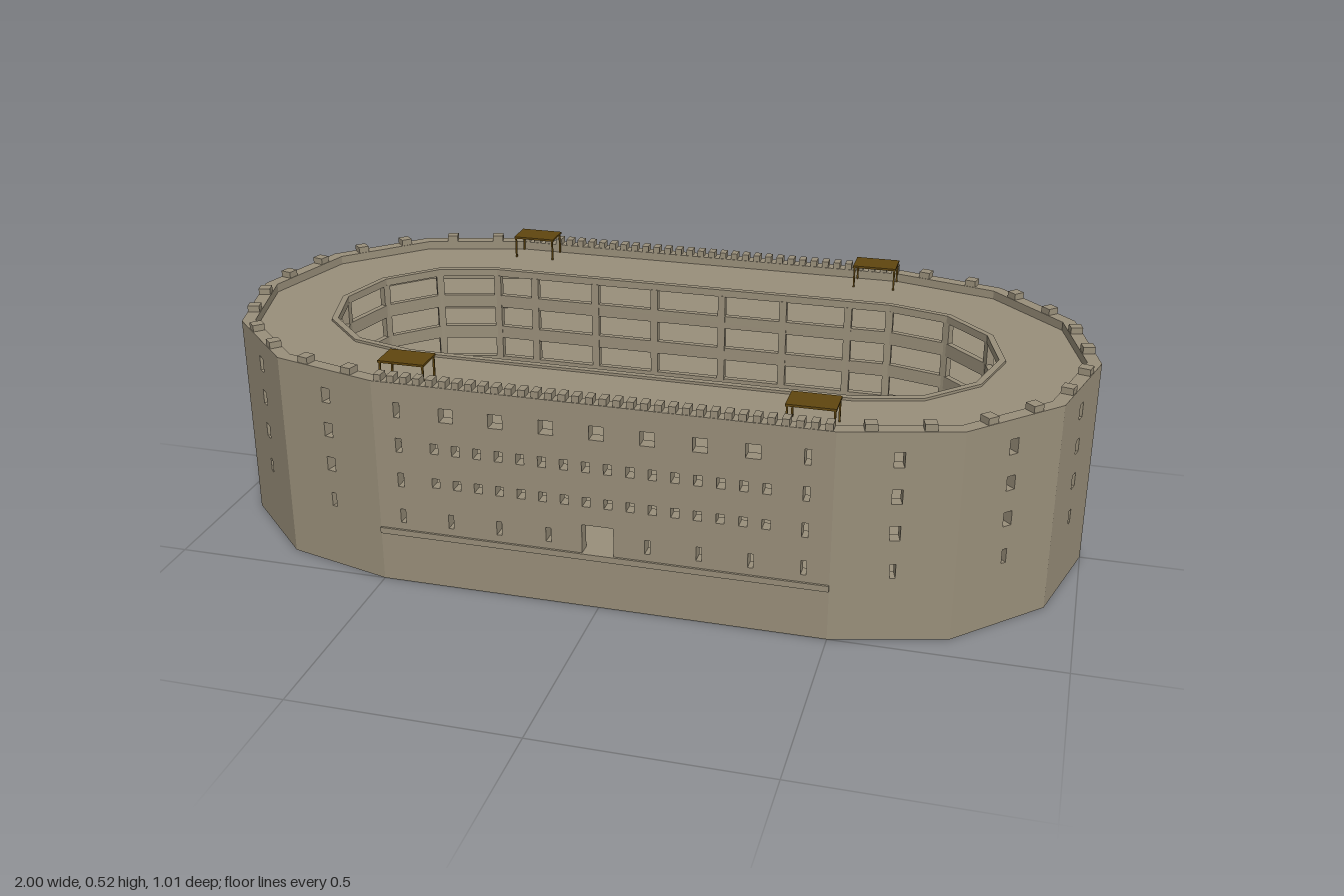
import * as THREE from 'three';

const stone = new THREE.MeshStandardMaterial({ color: 0x998f7a });
stone.name = 'stone';
const timber = new THREE.MeshStandardMaterial({ color: 0x60460f });
timber.name = 'timber';

const HALF = 0.5;         // half length of the straight sides
const RADIUS = 0.5;       // outer radius of the faceted ends
const THICK = 0.03;       // outer wall thickness
const WALL_TOP = 0.48;
const GROUND = 0.13;
const FLOORS = [0.21, 0.293, 0.377, 0.46];

// Corners of a long ring: two half circles of six facets joined by straights
function outline(r) {
  const pts = [];
  for (const side of [0, 1]) {
    for (let i = 0; i <= 6; i++) {
      const a = -Math.PI / 2 + i * Math.PI / 6 + side * Math.PI;
      pts.push(new THREE.Vector2((side ? -HALF : HALF) + r * Math.cos(a), r * Math.sin(a)));
    }
  }
  return pts;
}

function add(parent, name, geometry, material, x = 0, y = 0, z = 0) {
  const mesh = new THREE.Mesh(geometry, material);
  mesh.name = name;
  mesh.position.set(x, y, z);
  parent.add(mesh);
  return mesh;
}

// Horizontal slab, optionally with an open middle
function slab(parent, name, rOut, rIn, y0, y1) {
  const shape = new THREE.Shape(outline(rOut));
  if (rIn) shape.holes.push(new THREE.Path(outline(rIn)));
  const geo = new THREE.ExtrudeGeometry(shape, { depth: y1 - y0, bevelEnabled: false });
  geo.rotateX(-Math.PI / 2);
  return add(parent, name, geo, stone, 0, y0, 0);
}

// Openings are [centre x, bottom, width, height]
function wallGeometry(width, openings) {
  const rect = (target, x, y, w, h) => target.setFromPoints([
    new THREE.Vector2(x - w / 2, y), new THREE.Vector2(x + w / 2, y),
    new THREE.Vector2(x + w / 2, y + h), new THREE.Vector2(x - w / 2, y + h),
    new THREE.Vector2(x - w / 2, y)]);
  const shape = rect(new THREE.Shape(), 0, 0, width, WALL_TOP);
  for (const [x, y, w, h] of openings) shape.holes.push(rect(new THREE.Path(), x, y, w, h));
  const geo = new THREE.ExtrudeGeometry(shape, { depth: THICK, bevelEnabled: false });
  geo.translate(0, 0, -THICK);
  return geo;
}

// One column of four windows, narrow at the bottom
const stack = (x, w) => [
  [x, 0.147, 0.012, 0.033], [x, 0.235, w, 0.033],
  [x, 0.318, w, 0.033], [x, 0.4, w, 0.035]];

function longWallOpenings() {
  const list = [[0, GROUND, 0.07, 0.068], [0, 0.4, 0.032, 0.032]];
  for (const s of [-1, 1]) {
    list.push(...stack(s * 0.445, 0.014));
    for (const x of [0.11, 0.222, 0.333]) {
      list.push([s * x, 0.147, 0.012, 0.033], [s * x, 0.4, 0.032, 0.032]);
    }
    for (let i = 0; i < 8; i++) {
      const x = s * (0.024 + i * 0.0485);
      list.push([x, 0.242, 0.018, 0.022], [x, 0.323, 0.018, 0.024]);
    }
  }
  return list;
}

function buildWalls(root) {
  const pts = outline(RADIUS);
  pts.forEach((a, i) => {
    const b = pts[(i + 1) % pts.length];
    const mx = (a.x + b.x) / 2, mz = (a.y + b.y) / 2;
    const width = a.distanceTo(b);
    const isLong = width > 0.9;
    const wall = new THREE.Group();
    wall.name = isLong ? 'longWall' : 'endWall';
    wall.position.set(mx, 0, mz);
    wall.rotation.y = Math.atan2(b.y - a.y, -(b.x - a.x));
    root.add(wall);
    // Make sure the wall faces outwards
    const nx = Math.sin(wall.rotation.y), nz = Math.cos(wall.rotation.y);
    const cx = isLong ? 0 : Math.sign(mx) * HALF;
    if (nx * (mx - cx) + nz * mz < 0) wall.rotation.y += Math.PI;

    add(wall, 'wallPanel', wallGeometry(width, isLong ? longWallOpenings() : stack(0, 0.022)), stone);

    // Battlements, dense on the long sides and paired on the end facets
    const count = isLong ? 34 : 2;
    const pitch = isLong ? width / count : width * 0.46;
    const merlon = new THREE.BoxGeometry(isLong ? 0.016 : 0.026, 0.017, THICK * 0.9);
    for (let k = 0; k < count; k++) {
      add(wall, 'merlon', merlon, stone, (k - (count - 1) / 2) * pitch, WALL_TOP + 0.0065, -THICK / 2);
    }
    if (isLong) add(wall, 'ledge', new THREE.BoxGeometry(1, 0.014, 0.01), stone, 0, 0.123, 0);
  });
}

function buildGalleries(root) {
  slab(root, 'courtyardFloor', 0.48, 0, 0.12, GROUND);
  FLOORS.forEach((y, i) => {
    const roof = i === FLOORS.length - 1;
    slab(root, roof ? 'roof' : 'galleryFloor', 0.48, 0.293, y - 0.01, y);
    slab(root, 'galleryParapet', 0.295, 0.28, y - 0.012, y + (roof ? 0.006 : 0.02));
  });

  // Piers facing the courtyard, at each corner and along the straights
  const height = 0.45 - GROUND;
  const pier = new THREE.BoxGeometry(0.018, height, 0.018);
  for (const p of outline(0.288)) {
    const m = add(root, 'pier', pier, stone, p.x, GROUND + height / 2, p.y);
    m.rotation.y = Math.atan2(p.x - Math.sign(p.x) * HALF, p.y);
  }
  for (const x of [0.086, 0.24, 0.4]) {
    for (const sx of [-1, 1]) {
      for (const sz of [-1, 1]) add(root, 'pier', pier, stone, sx * x, GROUND + height / 2, sz * 0.288);
    }
  }
}

// Timber shelter standing on the roof
function buildShelter(x, z) {
  const g = new THREE.Group();
  g.name = 'shelter';
  g.position.set(x, 0, z);
  add(g, 'shelterRoof', new THREE.BoxGeometry(0.105, 0.005, 0.07), timber, 0, 0.513, 0);
  const post = new THREE.BoxGeometry(0.004, 0.052, 0.004);
  for (const sx of [-1, 1]) {
    for (const sz of [-1, 1]) add(g, 'shelterPost', post, timber, sx * 0.049, 0.485, sz * 0.031);
  }
  return g;
}

export function createModel() {
  const root = new THREE.Group();
  root.name = 'fort';
  buildWalls(root);
  buildGalleries(root);
  for (const sx of [-1, 1]) {
    for (const sz of [-1, 1]) root.add(buildShelter(sx * 0.442, sz * 0.436));
  }
  return root;
}
